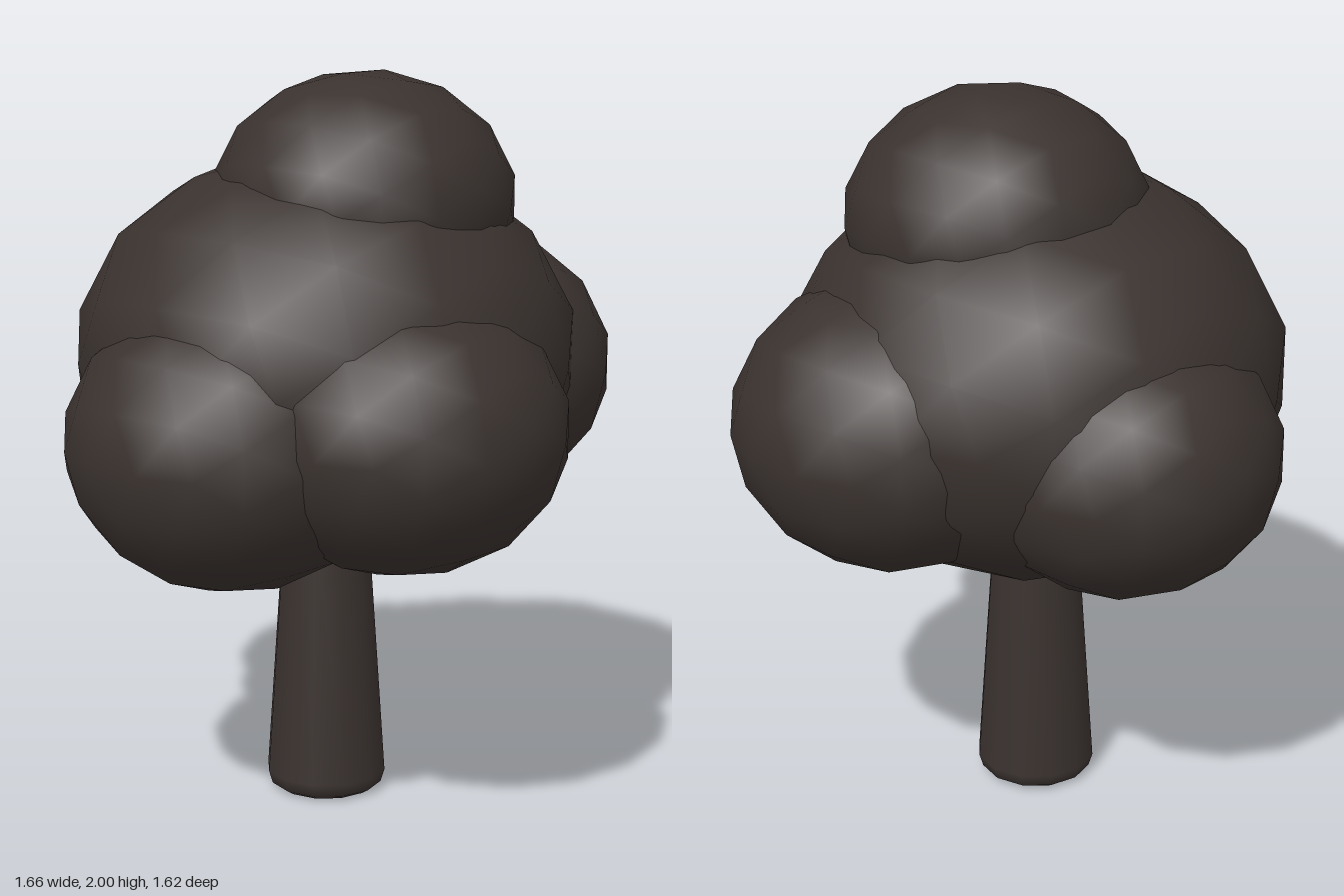
import * as THREE from 'three';

const material = new THREE.MeshStandardMaterial({ color: 0x3a322f });

// One flattened, low-poly ball of foliage with smooth normals
function leafBall(name, [x, y, z], radius, height) {
  const mesh = new THREE.Mesh(new THREE.IcosahedronGeometry(1, 2), material);
  mesh.name = name;
  mesh.scale.set(radius, height, radius);
  mesh.position.set(x, y, z);
  return mesh;
}

export function createModel() {
  const tree = new THREE.Group();
  tree.name = 'tree';

  // Tapered trunk with a bevelled foot, running up into the foliage
  const profile = [[0, 0], [0.135, 0], [0.157, 0.014], [0.168, 0.05], [0.124, 0.7], [0.112, 0.88], [0, 0.88]]
    .map(([r, y]) => new THREE.Vector2(r, y));
  const trunk = new THREE.Mesh(new THREE.LatheGeometry(profile, 12), material);
  trunk.name = 'trunk';
  trunk.position.z = -0.01;
  tree.add(trunk);

  // Crown: a large core, a cap and four balls around the sides
  const crown = new THREE.Group();
  crown.name = 'crown';
  const balls = [
    ['crownCore', [-0.005, 1.245, -0.005], 0.68, 0.56],
    ['topFoliage', [0.05, 1.655, 0.08], 0.41, 0.35],
    ['frontFoliage', [-0.14, 1.11, 0.38], 0.44, 0.378],
    ['backFoliage', [0.075, 1.13, -0.405], 0.415, 0.37],
    ['leftFoliage', [0.395, 1.17, 0.11], 0.443, 0.393],
    ['rightFoliage', [-0.395, 1.065, 0.02], 0.443, 0.393],
  ];
  for (const ball of balls) crown.add(leafBall(...ball));
  tree.add(crown);

  return tree;
}
